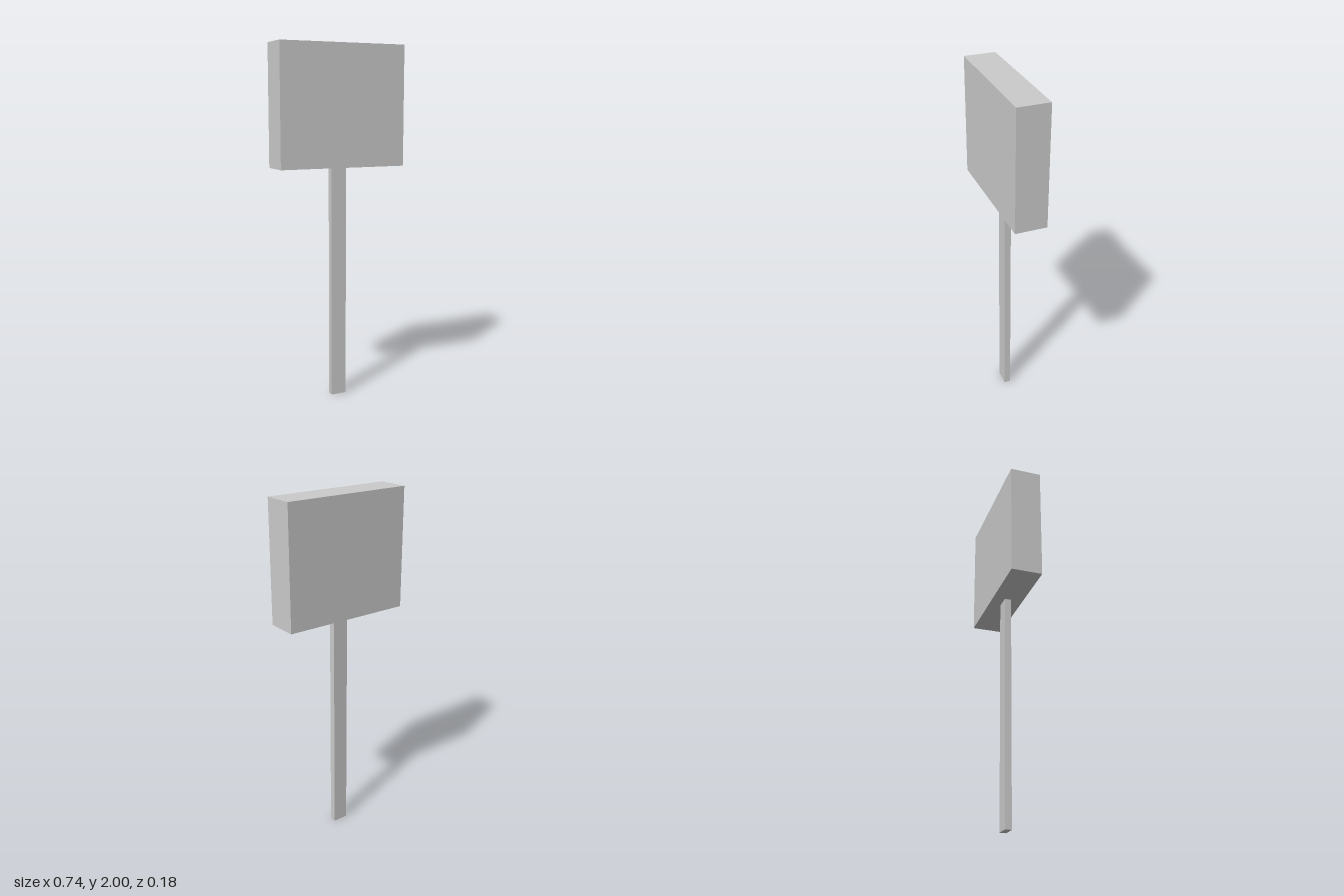
import * as THREE from 'three';

export function createModel() {
  const model = new THREE.Group();
  model.name = 'signpost';
  const material = new THREE.MeshStandardMaterial({ color: 0xcccccc });

  // Box standing on the height y0 and reaching y1
  function addBlock(name, width, depth, y0, y1) {
    const mesh = new THREE.Mesh(new THREE.BoxGeometry(width, y1 - y0, depth), material);
    mesh.name = name;
    mesh.position.y = (y0 + y1) / 2;
    model.add(mesh);
  }

  const boardBottom = 1.327;
  addBlock('post', 0.09, 0.037, 0, boardBottom);
  addBlock('board', 0.743, 0.177, boardBottom, 2);

  return model;
}
